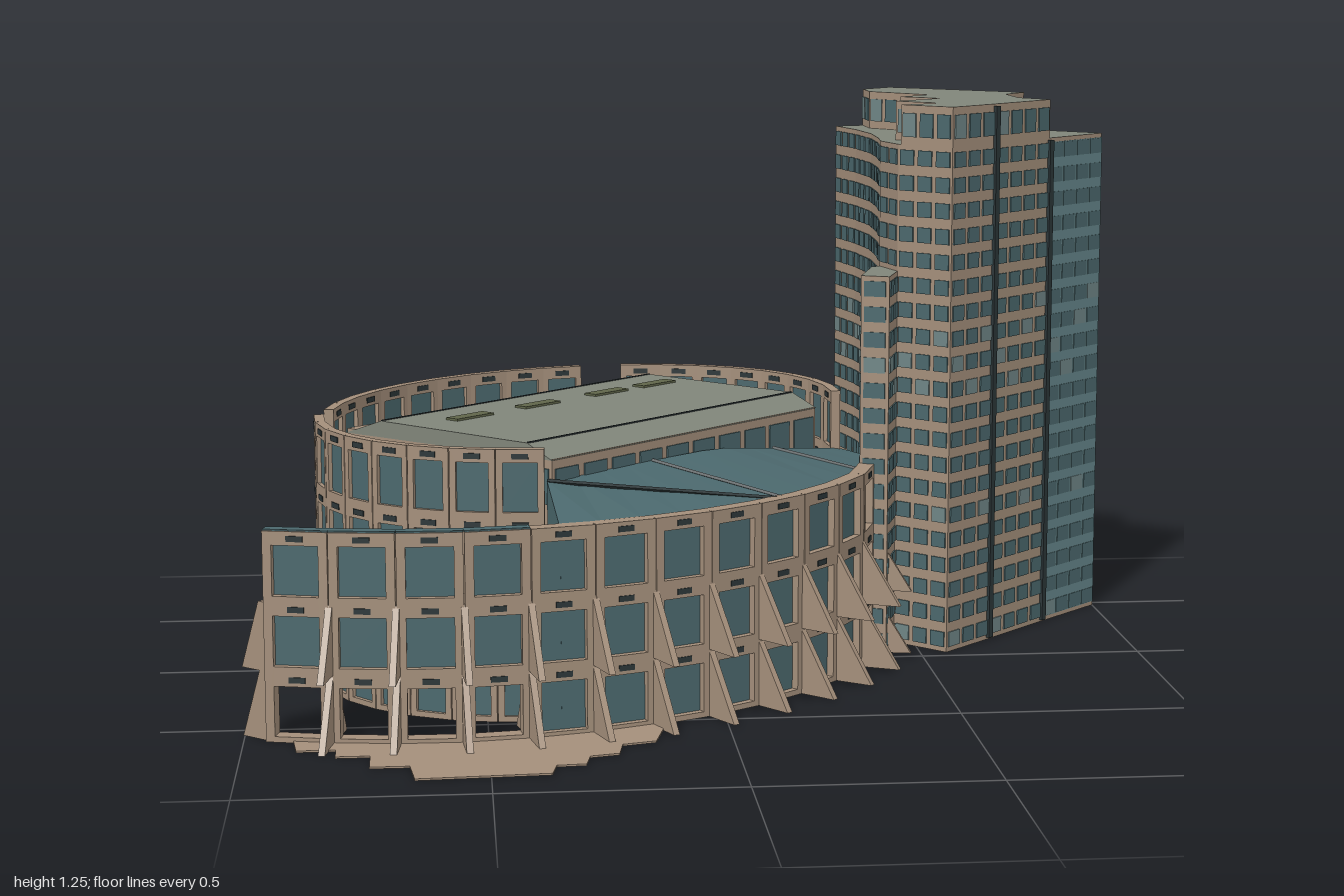
import * as THREE from 'three';
import { mergeGeometries } from 'three/addons/utils/BufferGeometryUtils.js';

const mat = (color, side = THREE.FrontSide) => new THREE.MeshStandardMaterial({ color, side, flatShading: true });
const stone = mat(0xa48f7b), glass = mat(0x4b686d), glazing = mat(0x65858a), roofMat = mat(0x80857a);
const dark = mat(0x2c3638), olive = mat(0x60664a), paneLight = mat(0x6f8586);
const thinGlass = mat(0x4b686d, THREE.DoubleSide), thinStone = mat(0xa48f7b, THREE.DoubleSide);

function add(parent, name, geometry, material) {
  const mesh = new THREE.Mesh(geometry, material);
  mesh.name = name;
  parent.add(mesh);
  return mesh;
}
function addMerged(parent, name, list, material) {
  if (list.length) add(parent, name, mergeGeometries(list), material);
}

// Upright prism over a ground plan of [x, z] points
function prism(plan, y0, y1) {
  const shape = new THREE.Shape(plan.map(([x, z]) => new THREE.Vector2(x, -z)));
  return new THREE.ExtrudeGeometry(shape, { depth: y1 - y0, bevelEnabled: false })
    .rotateX(-Math.PI / 2).translate(0, y0, 0);
}

// Wall segment frame: a to b runs left to right as seen from outside
function segment([ax, az], [bx, bz]) {
  const len = Math.hypot(bx - ax, bz - az), dx = (bx - ax) / len, dz = (bz - az) / len;
  return { len, n: [-dz, dx], at: s => [ax + dx * s, az + dz * s],
    place: (g, s, y, out = 0) => g.rotateY(Math.atan2(-dz, dx)).translate(ax + dx * s - dz * out, y, az + dz * s + dx * out) };
}

// Grid of window panes on one flat face
function facade(lists, a, b, y0, y1, rows, pitch, fw, fh) {
  const seg = segment(a, b), cols = Math.max(1, Math.round(seg.len / pitch));
  const w = seg.len / cols, h = (y1 - y0) / rows;
  for (let r = 0; r < rows; r++) for (let c = 0; c < cols; c++) {
    const list = lists[(r * 5 + c * 3 + (r * c) % 4) % 11 === 0 ? lists.length - 1 : 0];
    list.push(seg.place(new THREE.BoxGeometry(w * fw, h * fh, 0.006), (c + 0.5) * w, y0 + (r + 0.5) * h));
  }
}

// Screen wall of framed bays following a path of [x, z] points
function screenWall(parent, name, path, floors, height, thick, isOpen = () => false) {
  const frames = [], panes = [], slots = [], fh = height / floors;
  for (let i = 0; i < path.length - 1; i++) {
    const seg = segment(path[i], path[i + 1]), w = seg.len / 2, ww = seg.len * 0.36;
    const rect = (C, x, y0, y1) => new C([[-x, y0], [x, y0], [x, y1], [-x, y1]].map(p => new THREE.Vector2(...p)));
    const shape = rect(THREE.Shape, w, 0, height);
    for (let f = 0; f < floors; f++) {
      const y0 = f * fh + 0.012, y1 = y0 + fh * 0.72;
      shape.holes.push(rect(THREE.Path, ww, y0, y1));
      if (!isOpen(i, f)) panes.push(seg.place(new THREE.BoxGeometry(ww * 2, y1 - y0, 0.004), w, (y0 + y1) / 2));
      slots.push(seg.place(new THREE.BoxGeometry(0.035, 0.012, thick + 0.004), w, (f + 1) * fh - 0.015));
    }
    const frame = new THREE.ExtrudeGeometry(shape, { depth: thick, bevelEnabled: false }).translate(0, 0, -thick / 2);
    frames.push(seg.place(frame, w, 0));
  }
  addMerged(parent, name + 'Frame', frames, stone);
  addMerged(parent, name + 'Glass', panes, glass);
  addMerged(parent, name + 'Slots', slots, dark);
}

// Oval screen walls around a rectangular core
function buildOvalHall() {
  const hall = new THREE.Group();
  hall.name = 'ovalHall';
  hall.position.set(-0.26, 0, -0.12);
  hall.rotation.y = Math.PI / 4;
  const oval = (deg, k = 1) => {
    const t = deg * Math.PI / 180;
    return [0.655 * k * Math.cos(t), 0.525 * k * Math.sin(t)];
  };
  const floor = Array.from({ length: 64 }, (_, i) => oval(-i * 360 / 64));
  add(hall, 'ovalFloor', prism(floor, 0, 0.006), stone);
  [['endWallLeft', 220, 140, 8, 1.01], ['endWallRight', 40, -40, 8, 0.99], ['backWall', 310, 226, 9, 0.985]]
    .forEach(([name, t0, t1, n, k]) => {
      const path = Array.from({ length: n + 1 }, (_, i) => oval(t0 + (t1 - t0) * i / n, k));
      screenWall(hall, name, path, 4, 0.58, 0.022);
    });

  // Core block with a shallow hipped-edge roof
  const plan = [[-0.45, 0.31], [0.45, 0.31], [0.45, -0.31], [-0.45, -0.31]];
  add(hall, 'coreBlock', prism(plan, 0, 0.545), stone);
  const section = new THREE.Shape([[-0.312, 0.543], [0.312, 0.535], [0.2, 0.573], [-0.24, 0.573]].map(p => new THREE.Vector2(...p)));
  add(hall, 'coreRoof', new THREE.ExtrudeGeometry(section, { depth: 0.904, bevelEnabled: false })
    .rotateY(Math.PI / 2).translate(-0.452, 0, 0), roofMat);
  const panes = [];
  plan.forEach((p, i) => facade([panes], p, plan[(i + 1) % 4], 0, 0.555, 4, 0.09, 0.8, 0.55));
  addMerged(hall, 'coreWindows', panes, glass);
  const lights = [-0.29, -0.07, 0.165, 0.335].map(x =>
    new THREE.BoxGeometry(0.115, 0.008, 0.035).translate(x, 0.574, -0.085));
  addMerged(hall, 'roofLights', lights, olive);
  const seams = [-0.2, 0.24].map(z => new THREE.BoxGeometry(0.9, 0.004, 0.004).translate(0, 0.573, z));
  addMerged(hall, 'roofSeams', seams, dark);
  return hall;
}

// Curved outer wall with two tiers of raking fins, and the glazed court behind it
function buildOuterWall() {
  const group = new THREE.Group();
  group.name = 'outerWall';
  const curve = new THREE.CatmullRomCurve3([[-0.95, 0.575], [-0.8, 0.61], [-0.6, 0.63], [-0.38, 0.6], [-0.2, 0.54],
    [0, 0.435], [0.2, 0.265], [0.34, 0.06], [0.405, -0.19]].map(([x, z]) => new THREE.Vector3(x, 0, z)));
  const bays = 13;
  const path = curve.getSpacedPoints(bays).map(p => [p.x, p.z]);
  screenWall(group, 'curvedWall', path, 3, 0.44, 0.036, (i, f) => i < 4 && f === 0);

  const fins = [];
  const fin = ([x, z], nx, nz, reach) => [0, 0.145].forEach(y => {
    const tri = new THREE.Shape([[0, 0], [reach, 0], [0.015, 0.145], [0, 0.145]].map(p => new THREE.Vector2(...p)));
    fins.push(new THREE.ExtrudeGeometry(tri, { depth: 0.014, bevelEnabled: false }).translate(0, 0, -0.007)
      .rotateY(Math.atan2(-nz, nx)).translate(x, y, z));
  });
  path.forEach((p, i) => {
    const t = curve.getTangentAt(i / bays);
    if (i > 0) fin(p, -t.z, t.x, 0.105);
    if (i > 0 && i < 5) fin(p, t.z, -t.x, 0.1);
  });
  fin(path[0], -0.75, -0.66, 0.065);
  addMerged(group, 'rakingFins', fins, stone);

  // Glazed cap on the free-standing part
  const caps = path.slice(0, 4).map((p, i) => {
    const s = segment(p, path[i + 1]);
    return s.place(new THREE.BoxGeometry(s.len, 0.006, 0.028), s.len / 2, 0.44);
  });
  addMerged(group, 'wallCap', caps, glass);

  // Court roof lofted from the core to the curved wall
  const steps = 12, inner = [], outer = [], pos = [];
  for (let i = 0; i <= steps; i++) {
    const s = i / steps, p = curve.getPointAt(0.345 + 0.655 * s);
    inner.push([-0.37 + 0.71 * s, s < 0.55 ? 0.5 : 0.5 - (s - 0.55) * 0.13, 0.42 - 0.67 * s]);
    outer.push([p.x, 0.432, p.z]);
  }
  const quad = (a, b, c, d) => pos.push(...a, ...b, ...c, ...a, ...c, ...d);
  for (let i = 0; i < steps; i++) quad(inner[i], outer[i], outer[i + 1], inner[i + 1]);
  const ground = ([x, , z]) => [x, 0, z];
  [0, steps].forEach(i => quad(inner[i], ground(inner[i]), ground(outer[i]), outer[i]));
  const roof = new THREE.BufferGeometry();
  roof.setAttribute('position', new THREE.Float32BufferAttribute(pos, 3));
  roof.computeVertexNormals();
  add(group, 'courtGlass', roof, thinGlass);
  const beams = [[inner[4], outer[6]], [inner[9], outer[10]], [inner[0], outer[6]]].map(([a, b]) =>
    new THREE.TubeGeometry(new THREE.LineCurve3(new THREE.Vector3(...a), new THREE.Vector3(...b)), 1, 0.005, 4));
  addMerged(group, 'courtBeams', beams, dark);
  const plan = [...outer, ...inner.slice().reverse()].map(([x, , z]) => [x, z]);
  add(group, 'courtFloor', prism(plan, 0, 0.005), stone);
  return group;
}

// Tower with stepped roof levels
function buildTower() {
  const tower = new THREE.Group();
  tower.name = 'tower';
  const body = [[0.455, -0.14], [0.56, -0.03], [0.68, -0.15], [0.84, -0.315], [1, -0.475], [0.84, -0.63], [0.69, -0.77],
    [0.55, -0.9], [0.47, -0.815], [0.4, -0.79], [0.43, -0.65], [0.445, -0.5], [0.44, -0.35], [0.43, -0.25]];
  const crown = [[0.46, -0.135], [0.56, -0.03], [0.68, -0.15], [0.84, -0.315], [0.78, -0.4], [0.78, -0.55], [0.84, -0.63],
    [0.69, -0.77], [0.55, -0.9], [0.47, -0.815], [0.47, -0.7], [0.59, -0.545], [0.51, -0.465], [0.59, -0.385], [0.47, -0.28], [0.56, -0.19]];
  const wing = [[0.36, -0.06], [0.42, -0.03], [0.455, -0.14], [0.43, -0.25], [0.41, -0.235]];
  const panes = [], pale = [], bands = [], reveals = [];
  [['body', body, 0, 1.16, 20], ['crown', crown, 1.16, 1.25, 1], ['wing', wing, 0, 0.87, 15]].forEach(([name, plan, y0, y1, rows]) => {
    add(tower, name, prism(plan, y0, y1), [roofMat, stone]);
    plan.forEach((a, i) => {
      const b = plan[(i + 1) % plan.length];
      const corner = name === 'body' && Math.min(a[0], b[0]) > 0.83;
      if (corner) {
        // Glazed corner bay
        const s = segment(a, b);
        bands.push(s.place(new THREE.BoxGeometry(s.len, y1 - 0.02, 0.003), s.len / 2, y1 / 2));
      }
      facade([panes, pale], a, b, y0, y1, rows, 0.056, corner ? 0.88 : 0.76, 0.6);
    });
  });
  // Dark vertical reveals between facade bays
  [2, 3, 5, 6].forEach(i => {
    const y = i === 2 || i === 6 ? 1.25 : 1.16;
    reveals.push(new THREE.BoxGeometry(0.016, y - 0.01, 0.016).rotateY(Math.PI / 4).translate(body[i][0], y / 2, body[i][1]));
  });
  addMerged(tower, 'windows', panes, glass);
  addMerged(tower, 'paleWindows', pale, paneLight);
  addMerged(tower, 'cornerGlazing', bands, glazing);
  addMerged(tower, 'reveals', reveals, dark);
  return tower;
}

export function createModel() {
  const model = new THREE.Group();
  model.name = 'civicComplex';
  model.add(buildOvalHall(), buildOuterWall(), buildTower());
  // Stepped forecourt
  const plaza = [[-0.9, 0.59], [-0.89, 0.68], [-0.81, 0.68], [-0.81, 0.73], [-0.74, 0.73], [-0.74, 0.81], [-0.66, 0.81],
    [-0.65, 0.9], [-0.38, 0.885], [-0.37, 0.83], [-0.31, 0.825], [-0.3, 0.77], [-0.24, 0.755], [-0.23, 0.69],
    [-0.16, 0.67], [-0.12, 0.5], [-0.38, 0.6], [-0.6, 0.63], [-0.8, 0.61]];
  add(model, 'forecourt', prism(plaza, 0, 0.004), thinStone);
  return model;
}
